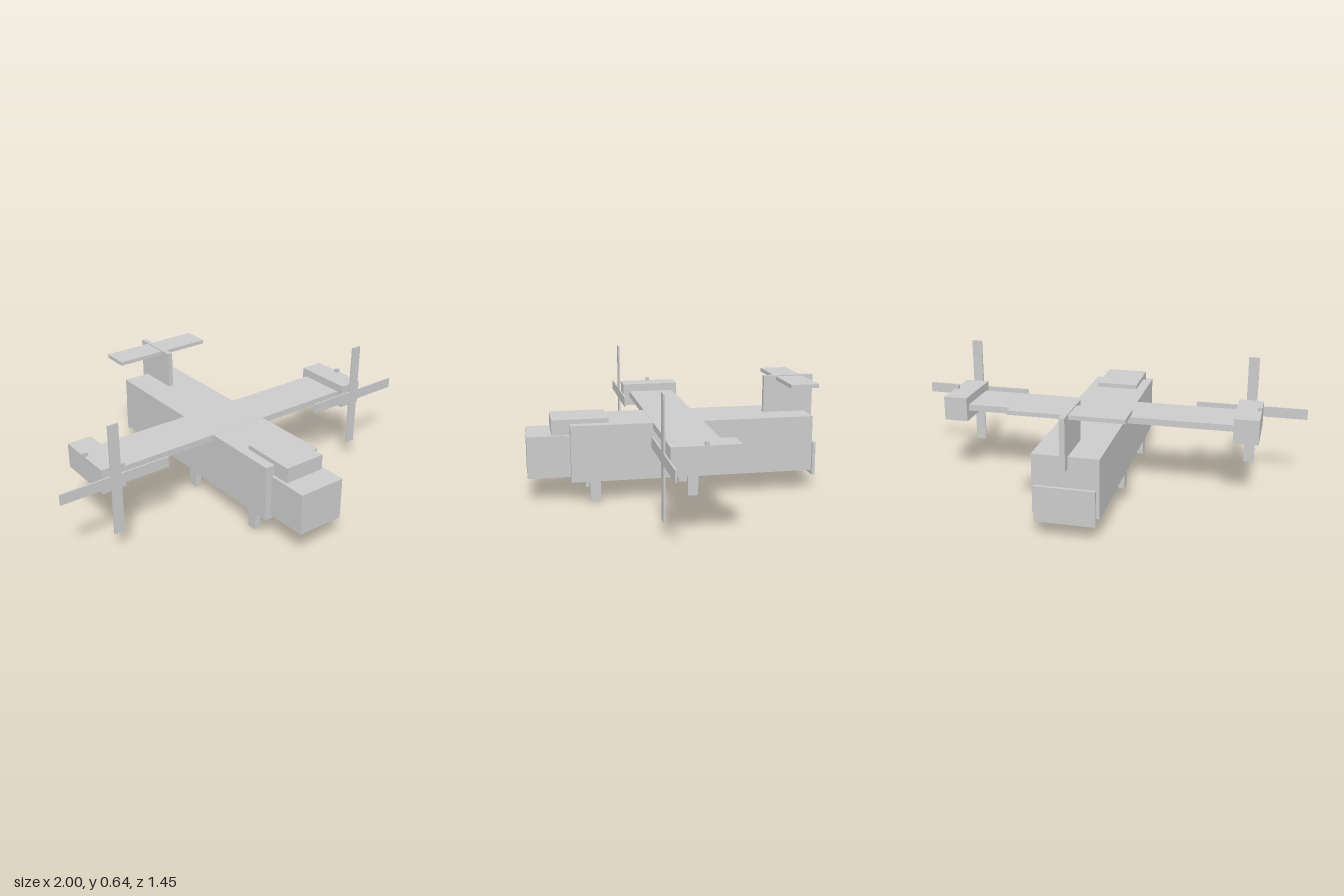
import * as THREE from 'three';

const material = new THREE.MeshStandardMaterial({ color: 0xcccccc, flatShading: true });

// Box given by its [min, max] extent along each axis
function block(parent, name, [x0, x1], [y0, y1], [z0, z1]) {
  const mesh = new THREE.Mesh(new THREE.BoxGeometry(x1 - x0, y1 - y0, z1 - z0), material);
  mesh.position.set((x0 + x1) / 2, (y0 + y1) / 2, (z0 + z1) / 2);
  mesh.name = name;
  parent.add(mesh);
  return mesh;
}

export function createModel() {
  const model = new THREE.Group();
  model.name = 'tiltrotorAircraft';

  // Body
  block(model, 'fuselage', [-0.153, 0.153], [0.105, 0.383], [-0.685, 0.52]);
  block(model, 'nose', [-0.12, 0.12], [0.125, 0.33], [0.5, 0.727]);
  block(model, 'cockpit', [-0.105, 0.105], [0.33, 0.405], [0.333, 0.607]);
  block(model, 'bellyPanel', [-0.12, 0.12], [0.103, 0.115], [-0.305, 0.14]);
  block(model, 'rearDoor', [-0.14, 0.14], [0.075, 0.243], [-0.711, -0.695]);

  // Wing and tail
  block(model, 'wing', [-0.67, 0.67], [0.352, 0.384], [-0.122, 0.122]);
  block(model, 'tailFin', [-0.0125, 0.0125], [0.33, 0.57], [-0.727, -0.47]);
  block(model, 'tailplane', [-0.26, 0.26], [0.546, 0.565], [-0.67, -0.533]);

  for (const [side, s] of [['left', 1], ['right', -1]]) {
    const span = (a, b) => (s > 0 ? [a, b] : [-b, -a]);

    // Engine with its wingtip light
    block(model, side + 'Nacelle', span(0.665, 0.785), [0.304, 0.425], [-0.15, 0.157]);
    block(model, side + 'WingtipLight', span(0.766, 0.785), [0.42, 0.443], [-0.009, 0.009]);

    // Two crossed propeller blades
    const propeller = new THREE.Group();
    propeller.name = side + 'Propeller';
    propeller.position.set(s * 0.725, 0.365, 0.176);
    for (const turn of [0, Math.PI / 2]) {
      const blade = block(propeller, 'blade', [-0.275, 0.275], [-0.026, 0.026], [-0.004, 0.004]);
      blade.rotation.z = turn;
    }
    model.add(propeller);

    // Landing legs
    block(model, side + 'FrontLeg', span(0.105, 0.137), [0, 0.11], [0.378, 0.43]);
    block(model, side + 'RearLeg', span(0.105, 0.137), [0, 0.11], [-0.106, -0.055]);
  }

  return model;
}
